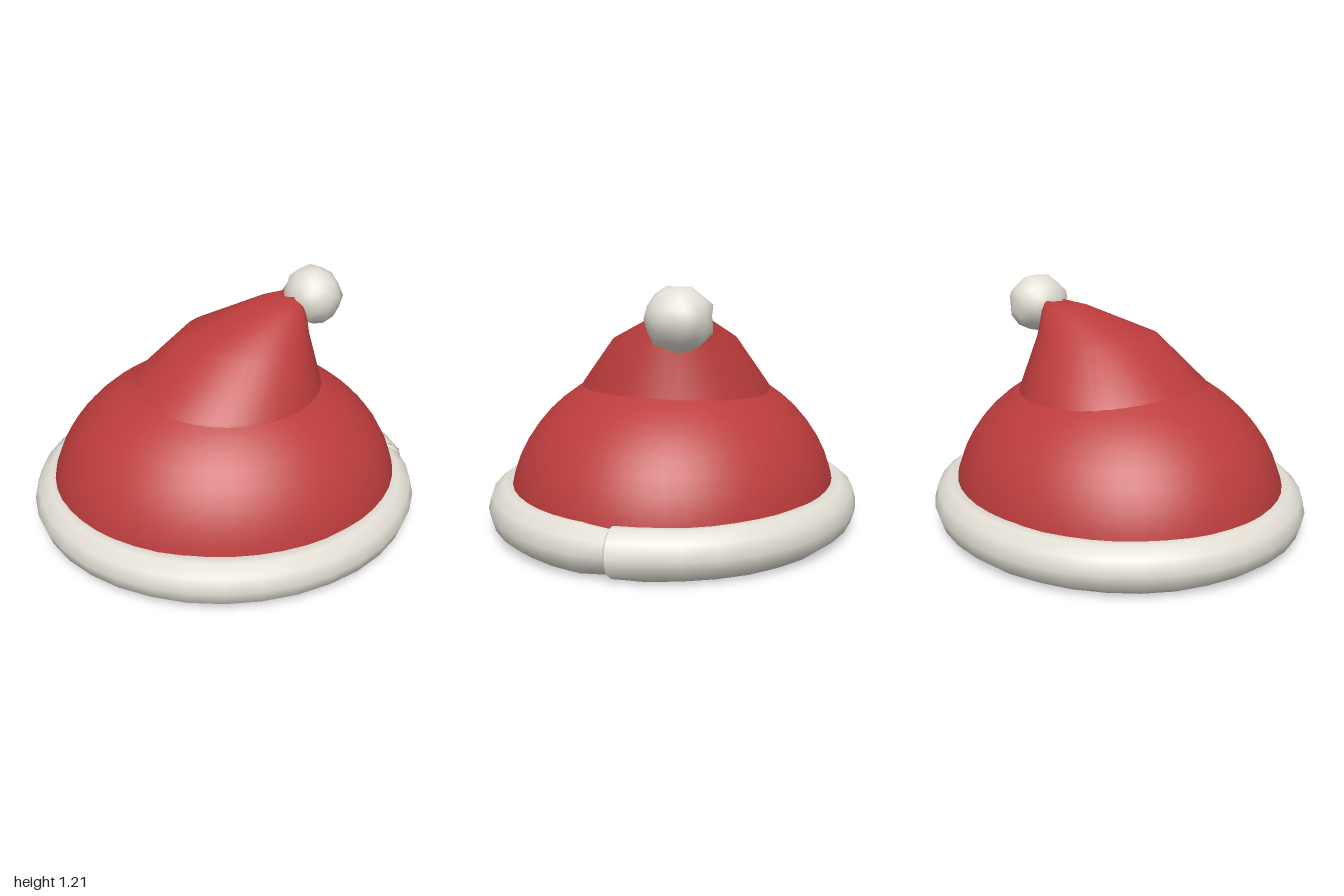
import * as THREE from 'three';
import { mergeVertices } from 'three/addons/utils/BufferGeometryUtils.js';

const red = new THREE.MeshStandardMaterial({ color: 0xbc3c3c, side: THREE.DoubleSide });
red.name = 'red felt';
const white = new THREE.MeshStandardMaterial({ color: 0xe2ded4, side: THREE.DoubleSide });
white.name = 'white fur';

// Skin through elliptical rings; each ring is { x, y, z, rx, rz, tilt, tiltZ }
function loft(rings, sides) {
  const pos = [], index = [];
  rings.forEach((r, i) => {
    for (let j = 0; j < sides; j++) {
      const a = (j / sides) * Math.PI * 2;
      const dx = Math.cos(a) * r.rx, dz = Math.sin(a) * r.rz;
      pos.push(r.x + dx, r.y + dx * (r.tilt || 0) + dz * (r.tiltZ || 0), r.z + dz);
      if (i === rings.length - 1) continue;
      const p = i * sides + j, q = i * sides + (j + 1) % sides;
      index.push(p, p + sides, q, q, p + sides, q + sides);
    }
  });
  const g = new THREE.BufferGeometry();
  g.setAttribute('position', new THREE.Float32BufferAttribute(pos, 3));
  g.setIndex(index);
  g.computeVertexNormals();
  return g;
}

// Weld a built-in geometry so its normals are smooth across seams
function weld(geometry) {
  geometry.deleteAttribute('normal');
  geometry.deleteAttribute('uv');
  const g = mergeVertices(geometry, 1e-4);
  g.computeVertexNormals();
  return g;
}

function add(group, name, geometry, material) {
  const mesh = new THREE.Mesh(geometry, material);
  mesh.name = name;
  group.add(mesh);
  return mesh;
}

export function createModel() {
  const hat = new THREE.Group();
  hat.name = 'hat';

  // Bowl of the hat: an elliptical dome, open under the peak
  const domeRings = [];
  for (let i = 0; i <= 9; i++) {
    const t = (i / 9) * 1.06;
    const r = 0.905 * Math.cos(t);
    domeRings.push({ x: 0, y: 0.1 + 0.727 * Math.sin(t), z: 0, rx: r, rz: r * 0.905 });
  }
  add(hat, 'dome', loft(domeRings, 48), red);

  // Drooping peak, leaning left and back; its skirt hangs inside the dome
  add(hat, 'peak', loft([
    { x: 0.015, y: 0.615, z: -0.01, rx: 0.505, rz: 0.485, tilt: -0.11 },
    { x: 0.005, y: 0.702, z: -0.017, rx: 0.487, rz: 0.472, tiltZ: 0.025 },
    { x: 0.115, y: 0.945, z: -0.04, rx: 0.318, rz: 0.303, tilt: -0.03 },
    { x: 0.307, y: 1.073, z: -0.115, rx: 0.12, rz: 0.115, tilt: -0.08 },
    { x: 0.365, y: 1.1, z: -0.145, rx: 0.052, rz: 0.055 },
    { x: 0.4, y: 1.045, z: -0.16, rx: 0.015, rz: 0.02 },
  ], 40), red);

  // Fur brim: an oval roll whose front end tucks under the back end
  const R = 0.885, tube = 0.115;
  const brim = new THREE.TorusGeometry(R, tube, 10, 36);
  const p = brim.attributes.position;
  for (let k = 0; k < p.count; k++) {
    const step = k % 37, a = (step / 36) * Math.PI * 2;
    const shrink = step === 0 ? 0.86 : step === 1 ? 0.97 : 1;
    const wob = 1.025 + 0.02 * Math.sin(a * 11) * Math.sin(a * 4);
    const d = Math.hypot(p.getX(k), p.getY(k)) - R;
    const r = R + d * shrink;
    p.setXYZ(k, Math.cos(a) * r, Math.sin(a) * r * 0.928, p.getZ(k) * shrink * wob);
  }
  brim.rotateX(Math.PI / 2);
  add(hat, 'brim', weld(brim), white).position.y = 0.122;

  // Rounded end of the brim roll at the seam
  const end = add(hat, 'brimEnd', new THREE.SphereGeometry(0.111, 16, 10), white);
  end.position.set(R, 0.122, 0);
  end.scale.z = 0.25;

  // Lumpy pompom
  const ball = new THREE.IcosahedronGeometry(0.148, 2);
  const b = ball.attributes.position, v = new THREE.Vector3();
  for (let k = 0; k < b.count; k++) {
    v.fromBufferAttribute(b, k);
    v.multiplyScalar(1 + 0.045 * Math.sin(v.x * 47 + 1) * Math.cos(v.y * 53) + 0.03 * Math.sin(v.z * 61 + v.y * 37));
    b.setXYZ(k, v.x, v.y, v.z * 1.06);
  }
  add(hat, 'pompom', weld(ball), white).position.set(0.485, 1.073, -0.17);

  return hat;
}
